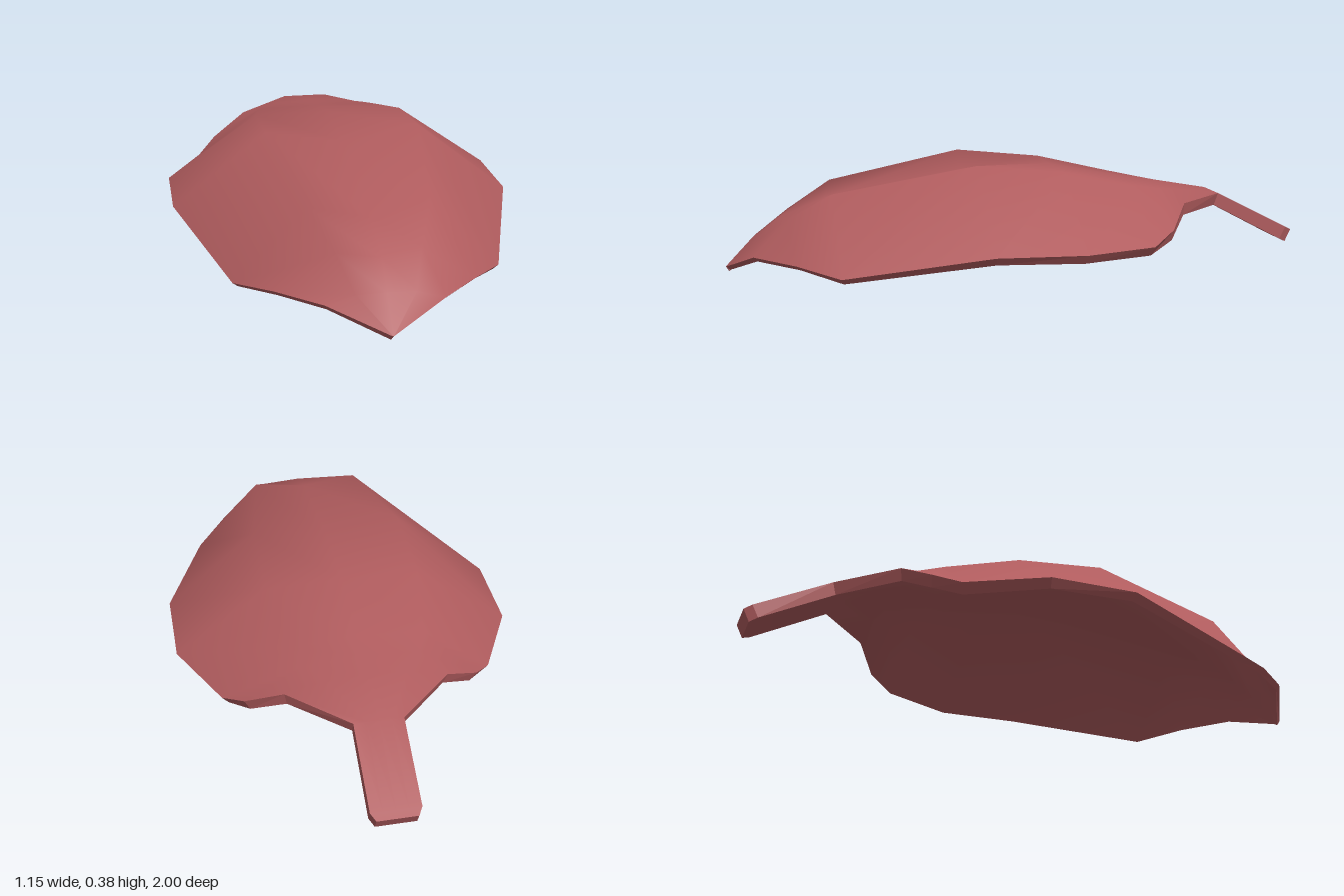
import * as THREE from 'three';

// Blade sections from front to back: [fold y, fold z, ridge x, ridge y, rim x, rim y, rim z]
const BLADE = [
  [0.12, 0.91, 0.09, 0.115, 0.18, 0.087, 0.9],
  [0.19, 0.82, 0.13, 0.2, 0.31, 0.078, 0.76],
  [0.255, 0.66, 0.19, 0.292, 0.422, 0.052, 0.62],
  [0.345, 0.19, 0.26, 0.385, 0.575, 0.135, 0.15],
  [0.36, -0.12, 0.26, 0.357, 0.575, 0.135, -0.14],
  [0.312, -0.37, 0.22, 0.303, 0.45, 0.132, -0.39],
  [0.297, -0.46, 0.19, 0.287, 0.385, 0.175, -0.47],
  [0.283, -0.54, 0.13, 0.276, 0.265, 0.245, -0.54],
];
// Flat sections: [half width, y, z]
const TIP = [0.004, 0.025, 1];
const STEM = [[0.08, 0.25, -0.72], [0.08, 0.122, -0.975], [0.065, 0.11, -1]];

const flat = ([w, y, z]) => [y, z, w / 2, y, w, y, z];
const SECTIONS = [flat(TIP), ...BLADE, ...STEM.map(flat)];
const COLS = 5;

// Mirrored row of points: rim, ridge, fold, ridge, rim
function sectionPoints([foldY, foldZ, ridgeX, ridgeY, rimX, rimY, rimZ]) {
  const ridgeZ = (foldZ + rimZ) / 2;
  return [
    new THREE.Vector3(-rimX, rimY, rimZ),
    new THREE.Vector3(-ridgeX, ridgeY, ridgeZ),
    new THREE.Vector3(0, foldY, foldZ),
    new THREE.Vector3(ridgeX, ridgeY, ridgeZ),
    new THREE.Vector3(rimX, rimY, rimZ),
  ];
}

function gridGeometry(points, flip) {
  const index = [];
  for (let i = 0; i < SECTIONS.length - 1; i++) {
    for (let j = 0; j < COLS - 1; j++) {
      const a = i * COLS + j, b = a + 1, c = a + COLS, d = c + 1;
      if (flip) index.push(a, c, b, b, c, d);
      else index.push(a, b, c, b, d, c);
    }
  }
  const geometry = new THREE.BufferGeometry().setFromPoints(points);
  geometry.setIndex(index);
  geometry.computeVertexNormals();
  return geometry;
}

// Indices around the outline, counter-clockwise from above
function outline() {
  const loop = [], last = SECTIONS.length - 1;
  for (let j = 0; j < COLS - 1; j++) loop.push(j);
  for (let i = 0; i < last; i++) loop.push(i * COLS + COLS - 1);
  for (let j = COLS - 1; j > 0; j--) loop.push(last * COLS + j);
  for (let i = last; i > 0; i--) loop.push(i * COLS);
  return loop;
}

export function createModel() {
  const group = new THREE.Group();
  group.name = 'leaf';
  const material = new THREE.MeshStandardMaterial({ color: 0xb05c5e });
  const add = (name, geometry) => {
    const mesh = new THREE.Mesh(geometry, material);
    mesh.name = name;
    group.add(mesh);
  };

  // Upper surface
  const top = SECTIONS.flatMap(sectionPoints);
  const upper = gridGeometry(top, false);
  add('upperSurface', upper);

  // Underside, set in along the normals and thicker towards the stem
  const normal = new THREE.Vector3();
  const bottom = top.map((p, n) => {
    normal.fromBufferAttribute(upper.attributes.normal, n);
    const thickness = THREE.MathUtils.mapLinear(p.z, 1, -1, 0.02, 0.048);
    const q = p.clone().addScaledVector(normal, -thickness);
    q.y = Math.max(q.y, 0);
    return q;
  });
  add('underside', gridGeometry(bottom, true));

  // Rim joining both surfaces
  const loop = outline(), rim = [];
  loop.forEach((a, n) => {
    const b = loop[(n + 1) % loop.length];
    rim.push(bottom[a], bottom[b], top[b], bottom[a], top[b], top[a]);
  });
  const rimGeometry = new THREE.BufferGeometry().setFromPoints(rim);
  rimGeometry.computeVertexNormals();
  add('rim', rimGeometry);
  return group;
}
